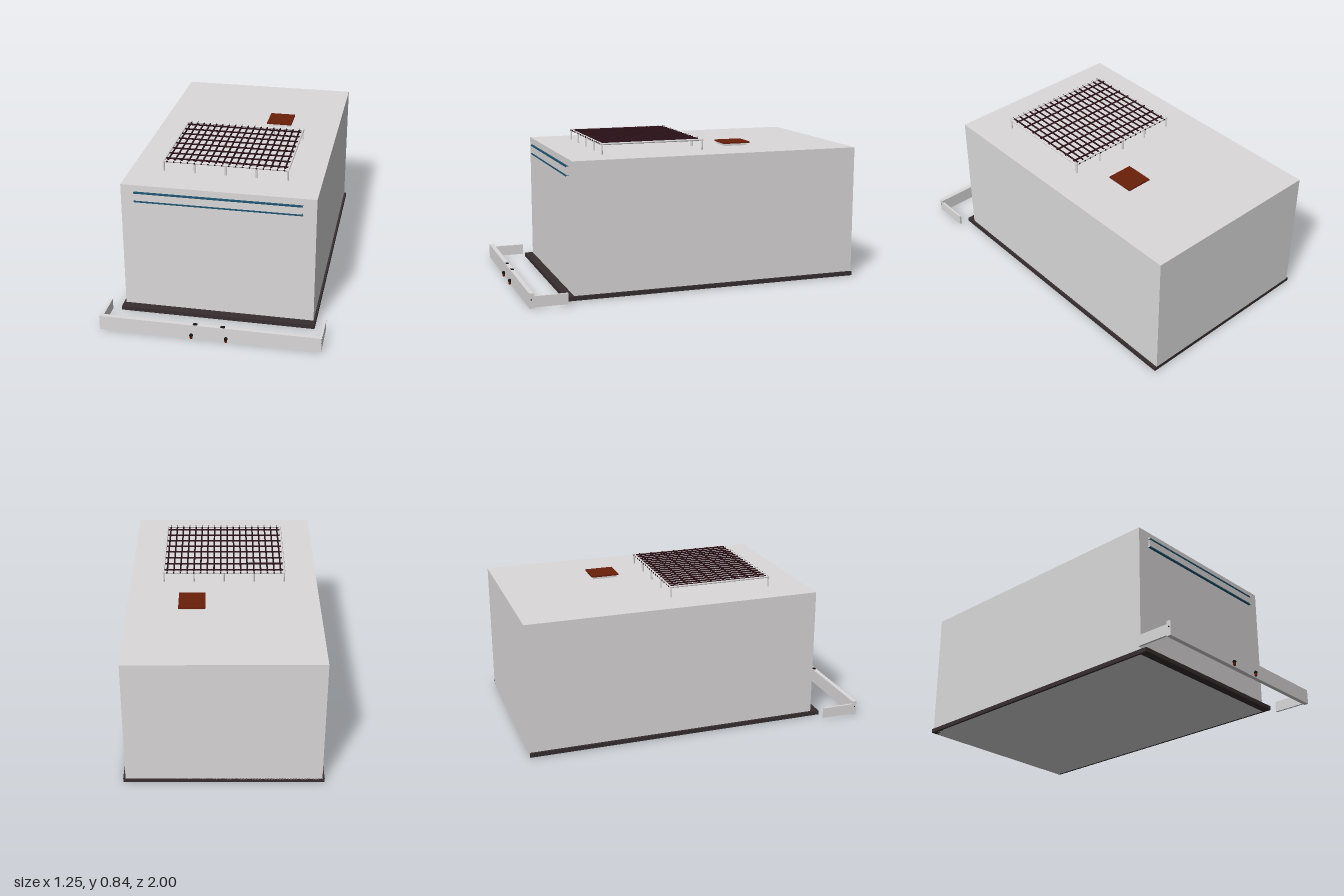
import * as THREE from 'three';

const mat = (name, color) => {
  const m = new THREE.MeshStandardMaterial({ color });
  m.name = name;
  return m;
};

export function createModel() {
  const grey = mat('light grey', 0xdbd9d9);
  const dark = mat('dark floor', 0x372e30);
  const gridDark = mat('rack bars', 0x2a1018);
  const brown = mat('rust brown', 0x6a1f0a);
  const blue = mat('dark blue', 0x1f5470);
  const black = mat('black', 0x151313);

  const model = new THREE.Group();
  model.name = 'model';
  const group = (name) => {
    const g = new THREE.Group();
    g.name = name;
    model.add(g);
    return g;
  };

  // Box given by its lower and upper limits on each axis
  const box = (parent, name, material, [x0, x1], [y0, y1], [z0, z1]) => {
    const m = new THREE.Mesh(new THREE.BoxGeometry(x1 - x0, y1 - y0, z1 - z0), material);
    m.position.set((x0 + x1) / 2, (y0 + y1) / 2, (z0 + z1) / 2);
    m.name = name;
    parent.add(m);
    return m;
  };

  // Round bar between two points
  const bar = (parent, name, material, a, b, r) => {
    const p = new THREE.Vector3(...a), q = new THREE.Vector3(...b);
    const d = q.clone().sub(p);
    const m = new THREE.Mesh(new THREE.CylinderGeometry(r, r, d.length(), 10), material);
    m.position.copy(p).add(q).multiplyScalar(0.5);
    m.quaternion.setFromUnitVectors(new THREE.Vector3(0, 1, 0), d.normalize());
    m.name = name;
    parent.add(m);
  };

  // Body and floor, flush at the base and the back
  box(model, 'body', grey, [-0.545, 0.545], [0.002, 0.778], [-1, 0.715]);
  box(model, 'floorPlate', dark, [-0.558, 0.558], [0.002, 0.026], [-1, 0.764]);

  // Front panel framed by two rails with grey ends
  const panel = group('frontPanel');
  box(panel, 'panel', grey, [-0.466, 0.466], [0.686, 0.735], [0.714, 0.723]);
  for (const y of [0.684, 0.736]) {
    box(panel, 'rail', blue, [-0.47, 0.47], [y - 0.004, y + 0.004], [0.714, 0.727]);
    for (const s of [-1, 1]) {
      const cap = box(panel, 'railEnd', grey, [-0.001, 0.001], [y - 0.004, y + 0.004], [0.714, 0.731]);
      cap.position.x = s * 0.471;
    }
  }

  // Roof hatch
  const hatch = group('roofHatch');
  box(hatch, 'hatchBase', grey, [0.115, 0.248], [0.777, 0.792], [-0.436, -0.294]);
  box(hatch, 'hatchLid', brown, [0.105, 0.257], [0.792, 0.801], [-0.45, -0.284]);

  // Roof rack: frame, posts and grid
  const rack = group('roofRack');
  const X = 0.354, Z0 = -0.109, Z1 = 0.494, Y = 0.838;
  for (const z of [Z0, Z1]) {
    bar(rack, 'rackFrame', grey, [-X - 0.006, Y, z], [X + 0.006, Y, z], 0.006);
    for (let i = -2; i <= 2; i++)
      bar(rack, 'rackPost', grey, [i * 0.1765, 0.777, z], [i * 0.1765, Y, z], 0.005);
  }
  for (const s of [-1, 1])
    bar(rack, 'rackFrame', grey, [s * X, Y, Z0 - 0.006], [s * X, Y, Z1 + 0.006], 0.006);
  for (let i = 0; i < 18; i++) {
    const x = (i - 8.5) * 0.0392;
    bar(rack, 'lengthBar', gridDark, [x, Y, Z0 - 0.008], [x, Y, Z1 + 0.008], 0.0048);
  }
  for (let i = 0; i < 8; i++) {
    const z = -0.074 + i * 0.075;
    bar(rack, 'crossBar', gridDark, [-X, Y, z], [X, Y, z], 0.0048);
  }

  // Wrap-around bumper with fittings mirrored on both sides
  const bumper = group('bumper');
  box(bumper, 'bumperFront', grey, [-0.622, 0.622], [0, 0.085], [0.956, 0.982]);
  for (const s of [-1, 1]) {
    const side = box(bumper, 'bumperSide', grey, [-0.006, 0.006], [0.006, 0.068], [0.766, 0.96]);
    side.position.x = s * 0.616;
    bar(bumper, 'endBolt', black, [s * 0.62, 0.05, 0.972], [s * 0.623, 0.05, 0.972], 0.004);

    // Small handle on the top edge
    const handle = box(bumper, 'topHandle', black, [-0.012, 0.012], [0.085, 0.088], [0.96, 0.978]);
    handle.position.x = s * 0.077;

    // Tow hook: rounded brown shackle under a black eye
    const hook = new THREE.Mesh(new THREE.CapsuleGeometry(0.008, 0.012, 4, 10), brown);
    hook.position.set(s * 0.097, 0.015, 0.989);
    hook.name = 'towHook';
    const eye = new THREE.Mesh(new THREE.SphereGeometry(0.0105, 12, 8), black);
    eye.position.set(s * 0.097, 0.025, 0.989);
    eye.name = 'towEye';
    bumper.add(hook, eye);
  }
  return model;
}
